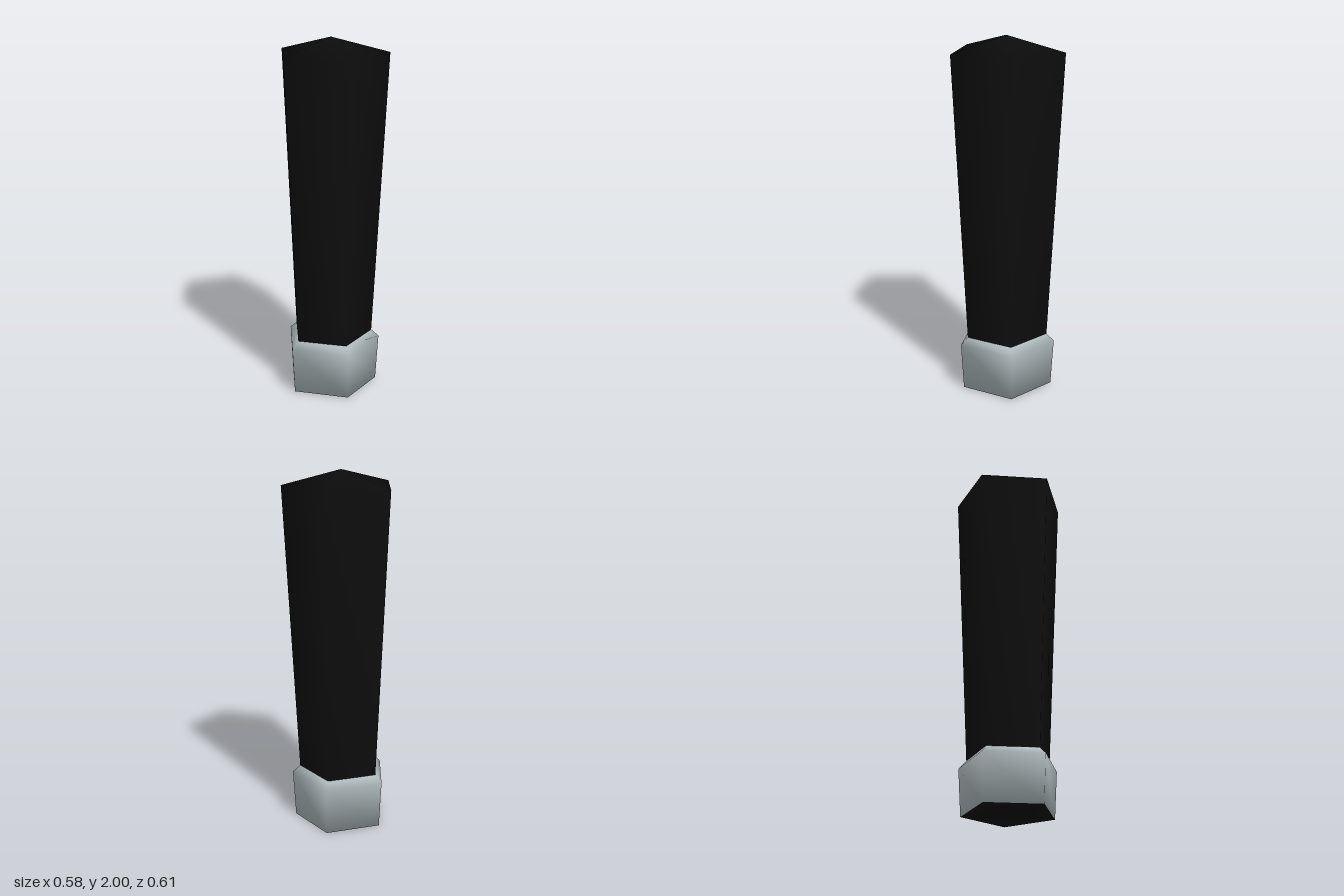
import * as THREE from 'three';

const SIDES = 5;
const CENTER_X = 0.03;

// Five-sided lathe with one corner on -x; keeps only profile bands from..to,
// so neighbouring parts share smooth normals across a colour change.
function pentagonPart(name, profile, from, to, material) {
  const points = profile.map(([r, y]) => new THREE.Vector2(r, y));
  const geometry = new THREE.LatheGeometry(points, SIDES, -Math.PI / 2);
  const all = Array.from(geometry.index.array);
  const bands = profile.length - 1;
  geometry.setIndex(all.filter((_, i) => {
    const band = Math.floor(i / 6) % bands;
    return band >= from && band <= to;
  }));
  const mesh = new THREE.Mesh(geometry, material);
  mesh.name = name;
  mesh.position.x = CENTER_X;
  return mesh;
}

export function createModel() {
  const black = new THREE.MeshStandardMaterial({ color: 0x0d0d0d });
  black.name = 'black';
  const paleSteel = new THREE.MeshStandardMaterial({ color: 0xb3bfc2 });
  paleSteel.name = 'paleSteel';

  const group = new THREE.Group();
  group.name = 'taperedPost';

  // Collar with a chamfered top edge and a black underside
  const collar = [[0, 0], [0.264, 0], [0.28, 0.265], [0.237, 0.305]];
  group.add(pentagonPart('base', collar, 0, 0, black));
  group.add(pentagonPart('collar', collar, 1, 2, paleSteel));

  // Shaft widening upward to a shallow pointed cap
  const shaft = [[0.237, 0.305], [0.32, 1.915], [0, 2]];
  group.add(pentagonPart('shaft', shaft, 0, 1, black));

  return group;
}
